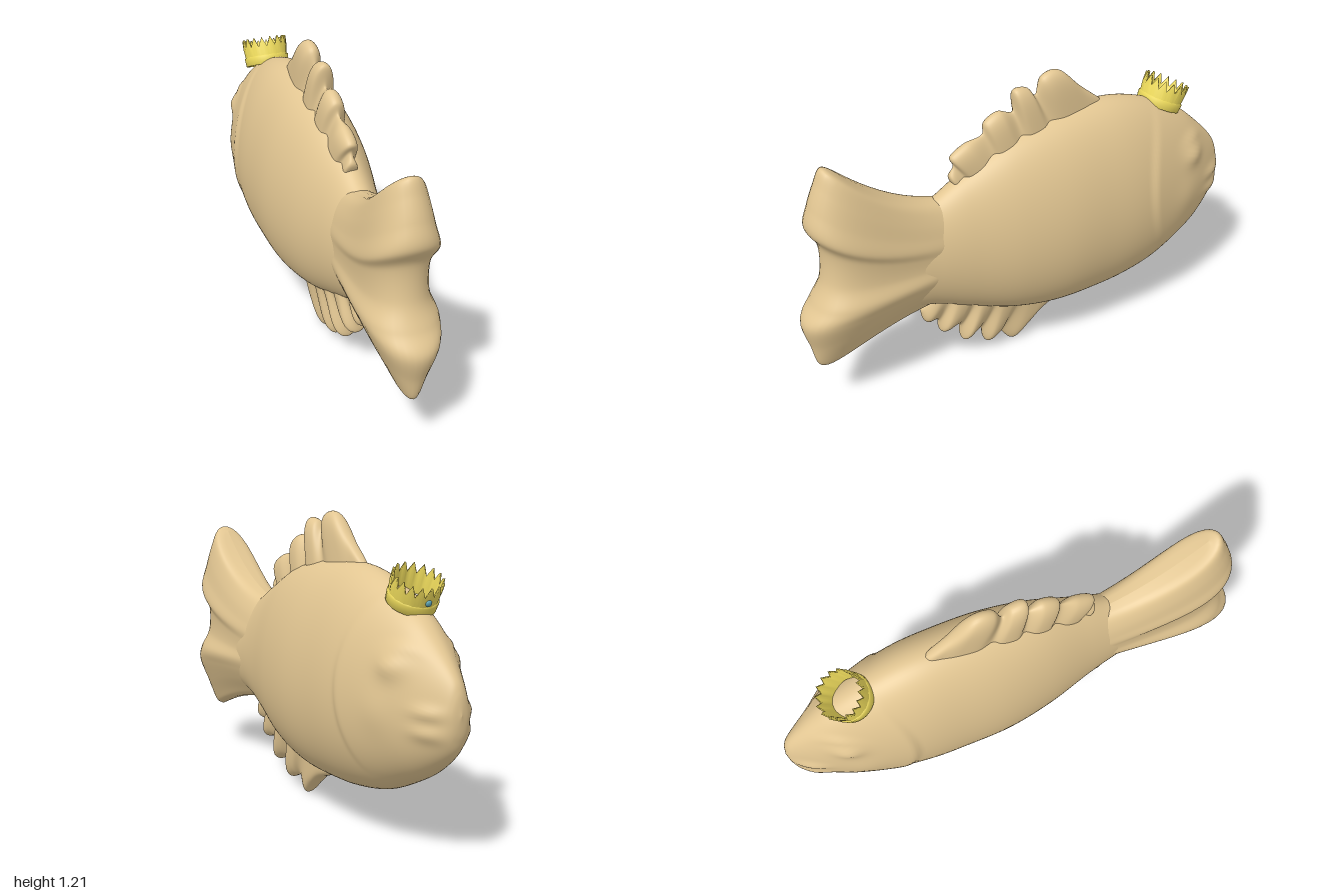
import * as THREE from 'three';

const skin = new THREE.MeshStandardMaterial({ color: 0xe2c692 });
const gold = new THREE.MeshStandardMaterial({ color: 0xeedb5c, side: THREE.DoubleSide });
const blue = new THREE.MeshStandardMaterial({ color: 0x5fa8b8 });

// Smooth surface from a grid of points f(i, j); closedJ joins the last column to the first.
function grid(ni, nj, f, closedJ = false) {
  const pos = [], idx = [], cols = closedJ ? nj : nj + 1;
  for (let i = 0; i <= ni; i++) for (let j = 0; j < cols; j++) pos.push(...f(i, j));
  for (let i = 0; i < ni; i++) for (let j = 0; j < nj; j++) {
    const k = (j + 1) % cols;
    const a = i * cols + j, b = a + cols, c = i * cols + k, d = c + cols;
    idx.push(a, b, c, b, d, c);
  }
  const g = new THREE.BufferGeometry();
  g.setAttribute('position', new THREE.Float32BufferAttribute(pos, 3));
  g.setIndex(idx);
  g.computeVertexNormals();
  return g;
}

function part(group, name, geometry, material) {
  const m = new THREE.Mesh(geometry, material);
  m.name = name;
  group.add(m);
  return m;
}

const spline = pts => new THREE.CatmullRomCurve3(pts.map(p => new THREE.Vector3(...p)), false, 'catmullrom', 0.5);
const lerp = THREE.MathUtils.lerp;
const bell = (a, r) => Math.exp(-(a * a) / (r * r));

// Body stations: z, top, bottom, half width
const stations = [
  [-0.998, 0.59, 0.59, 0], [-0.985, 0.67, 0.5, 0.036], [-0.95, 0.73, 0.43, 0.066],
  [-0.85, 0.83, 0.345, 0.122], [-0.75, 0.91, 0.285, 0.16], [-0.6, 0.985, 0.215, 0.196],
  [-0.45, 1.03, 0.18, 0.217], [-0.3, 1.04, 0.165, 0.222], [-0.1, 1.02, 0.165, 0.22],
  [0.1, 0.97, 0.2, 0.19], [0.3, 0.87, 0.275, 0.14], [0.45, 0.79, 0.335, 0.112],
  [0.6, 0.75, 0.37, 0.095], [0.75, 0.66, 0.45, 0.05], [0.82, 0.57, 0.53, 0.005],
];
const outline = spline(stations.map(([z, t, b]) => [z, t, b]));
const widths = spline(stations.map(([z, , , w]) => [w, 0, z]));

// Gill cover, closed eyes, cheeks and lips raised from the side of the head
function headRelief(y, z) {
  const d = z + 0.5 + 0.9 * (y - 0.65) ** 2;
  const gill = THREE.MathUtils.smoothstep(-d, -0.015, 0.03) * Math.exp(Math.min(0, d) * 7);
  const fade = Math.max(0, 1 - ((y - 0.65) / 0.35) ** 2);
  const lid = bell(z + 0.765, 0.06) * bell(y - 0.735, 0.045);
  const brow = bell(z + 0.78, 0.07) * bell(y - 0.8 + 2.5 * (z + 0.78) ** 2, 0.018);
  const cheek = bell(z + 0.72, 0.07) * bell(y - 0.56, 0.08);
  const lips = bell(z + 0.92, 0.06) * (bell(y - 0.59, 0.026) + bell(y - 0.515, 0.03));
  return 0.015 * gill * fade + 0.024 * lid + 0.009 * brow + 0.007 * cheek + 0.015 * lips;
}

function bodyGeometry() {
  const N = 168, M = 96;
  return grid(N, M, (i, j) => {
    const o = outline.getPoint(i / N), w = widths.getPoint(i / N).x;
    const a = -j / M * Math.PI * 2, s = Math.sin(a), c = Math.cos(a);
    const y = (o.y + o.z) / 2 + (o.y - o.z) / 2 * s;
    const gain = Math.sign(c) * Math.min(1, Math.abs(c) * 2) * Math.min(1, w * 15);
    return [w * c * (1 - 0.12 * s) + gain * headRelief(y, o.x), y, o.x];
  }, true);
}

// Ribbed fin: rays run from a root line to an edge of [z, y, half thickness] points.
function finGeometry(root, edge, rootWidth, flare) {
  const N = edge.length * 9, M = 16, rim = spline(edge), base = spline(root);
  return grid(N, M * 2, (i, j) => {
    const v = i / N, e = rim.getPoint(v), r = base.getPoint(v);
    const k = 1 - Math.abs(j - M) / M, t = 1 - (1 - k) ** 2;
    const side = 2 * v - 1;
    const cap = Math.sqrt(Math.max(0, 1 - side ** 20)), foot = Math.sqrt(Math.max(0, 1 - side ** 2));
    const x = lerp(rootWidth * foot, e.z * cap, t) * Math.sqrt(1 - t ** 7);
    return [x * Math.sign(j - M), lerp(r.y, e.y, t ** flare), lerp(r.x, e.x, t)];
  });
}

// Crown wall with a zigzag rim, open at top and bottom
function crownGeometry() {
  const spikes = 16, N = spikes * 4;
  return grid(N, 3, (i, j) => {
    const a = -i / N * Math.PI * 2, tip = Math.abs((i % 4) - 2) / 2;
    const top = j === 1 || j === 2, r = (top ? 0.097 : 0.088) - (j > 1 ? 0.01 : 0);
    return [r * Math.cos(a), top ? 0.075 + 0.042 * tip : 0, r * Math.sin(a)];
  });
}

export function createModel() {
  const fish = new THREE.Group();
  fish.name = 'crownedFish';
  part(fish, 'body', bodyGeometry(), skin);

  const fins = new THREE.Group();
  fins.name = 'fins';
  fins.position.x = -0.008;
  fish.add(fins);

  // Tail, listed from the upper tip to the lower tip
  part(fins, 'tailFin', finGeometry(
    [[0.28, 0.79, 0], [0.28, 0.57, 0], [0.28, 0.345, 0]],
    [[0.82, 1.045, 0.09], [0.865, 1.062, 0.105], [0.895, 1.0, 0.125], [0.925, 0.92, 0.14], [0.945, 0.83, 0.16],
      [0.90, 0.74, 0.135], [0.905, 0.6, 0.135], [0.95, 0.5, 0.17], [1.0, 0.42, 0.15],
      [0.975, 0.31, 0.105], [0.95, 0.22, 0.06], [0.9, 0.205, 0.05]], 0.1, 2.1), skin);

  // Dorsal fin, front to back: lobes are thick, gaps between them thin
  part(fins, 'dorsalFin', finGeometry(
    [[-0.42, 0.96, 0], [-0.1, 0.88, 0], [0.12, 0.82, 0], [0.3, 0.76, 0]],
    [[-0.36, 1.04, 0.03], [-0.26, 1.12, 0.03], [-0.16, 1.21, 0.042], [-0.08, 1.2, 0.044], [-0.05, 1.13, 0.016],
      [-0.01, 1.17, 0.043], [0.05, 1.17, 0.044], [0.055, 1.085, 0.016], [0.12, 1.1, 0.042], [0.18, 1.07, 0.04],
      [0.195, 1.02, 0.015], [0.27, 1.0, 0.038], [0.335, 0.96, 0.036], [0.325, 0.92, 0.015],
      [0.345, 0.88, 0.03], [0.33, 0.84, 0.025]], 0.06, 1), skin);

  // Anal fin, back to front
  part(fins, 'analFin', finGeometry(
    [[0.42, 0.42, 0], [0.25, 0.34, 0], [0.08, 0.27, 0], [-0.2, 0.22, 0]],
    [[0.5, 0.31, 0.03], [0.48, 0.245, 0.045], [0.42, 0.23, 0.02], [0.41, 0.17, 0.054], [0.35, 0.18, 0.047],
      [0.315, 0.16, 0.018], [0.31, 0.09, 0.055], [0.26, 0.11, 0.044], [0.22, 0.11, 0.018], [0.2, 0.04, 0.05],
      [0.15, 0.055, 0.044], [0.125, 0.06, 0.018], [0.07, 0.003, 0.038], [0.01, 0.05, 0.044],
      [-0.06, 0.105, 0.04], [-0.18, 0.15, 0.03]], 0.07, 1), skin);

  // Crown tilted forward on the brow
  const crown = new THREE.Group();
  crown.name = 'crown';
  crown.position.set(-0.01, 0.93, -0.667);
  crown.rotation.x = -0.42;
  part(crown, 'crownWall', crownGeometry(), gold);
  const band = [[0.08, 0], [0.094, 0], [0.097, 0.035], [0.09, 0.04]].map(p => new THREE.Vector2(...p));
  part(crown, 'crownBand', new THREE.LatheGeometry(band, 48), gold);
  const gem = part(crown, 'crownGem', new THREE.SphereGeometry(0.013, 16, 10), blue);
  gem.position.set(0, 0.058, -0.095);
  gem.scale.z = 0.6;
  fish.add(crown);
  return fish;
}
